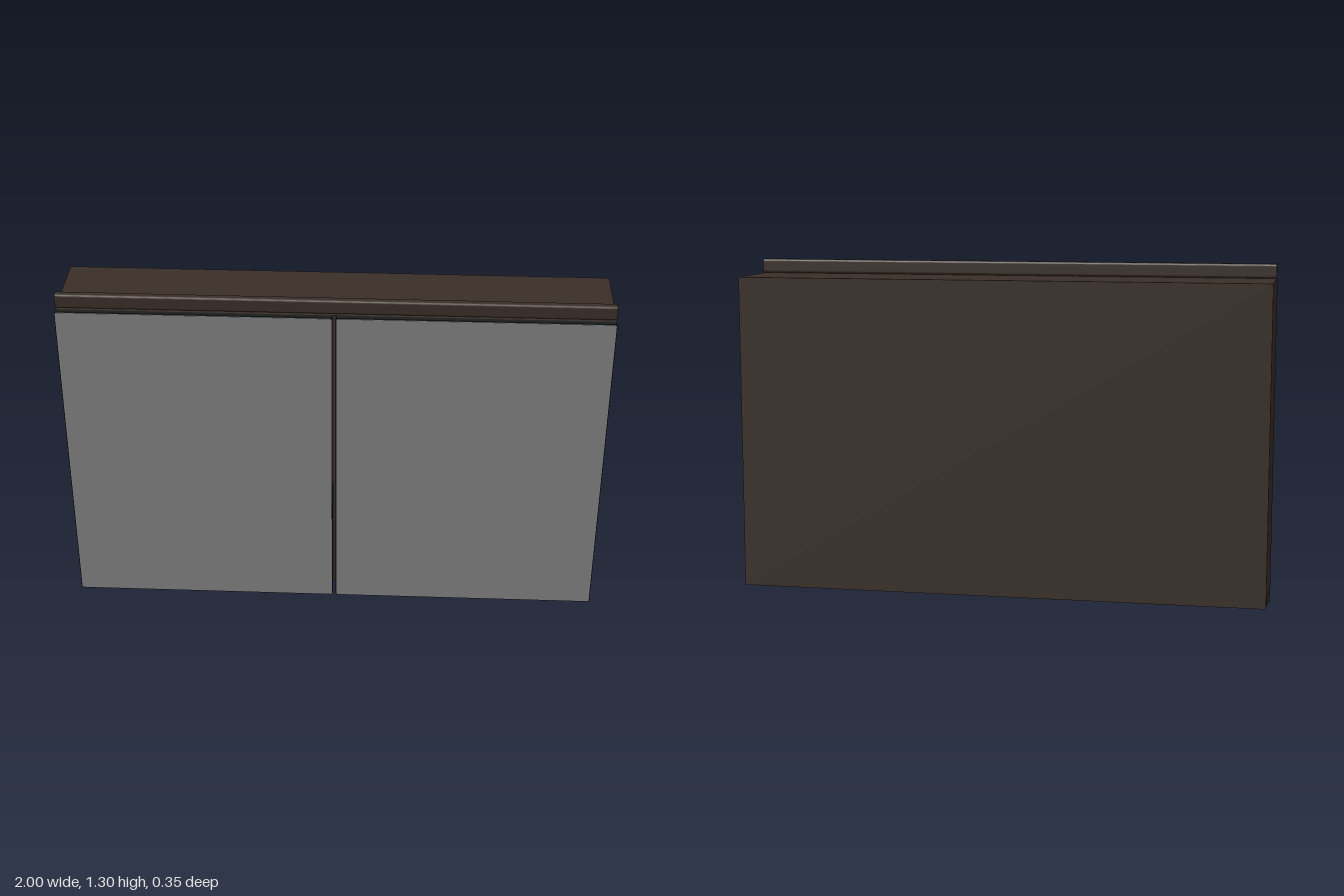
import * as THREE from 'three';

const wood = new THREE.MeshStandardMaterial({ color: 0x3a2f28 });
const edge = new THREE.MeshStandardMaterial({ color: 0x1c1e1e });
const mirror = new THREE.MeshStandardMaterial({ color: 0x808080 });

// Rectangle with rounded corners, centred on the origin
function roundedRect(w, h, r) {
  const s = new THREE.Shape();
  const x = w / 2, y = h / 2;
  s.moveTo(-x + r, -y);
  s.lineTo(x - r, -y);
  s.absarc(x - r, -y + r, r, -Math.PI / 2, 0);
  s.lineTo(x, y - r);
  s.absarc(x - r, y - r, r, 0, Math.PI / 2);
  s.lineTo(-x + r, y);
  s.absarc(-x + r, y - r, r, Math.PI / 2, Math.PI);
  s.lineTo(-x, -y + r);
  s.absarc(-x + r, -y + r, r, Math.PI, Math.PI * 1.5);
  return s;
}

function slab(w, h, r, depth) {
  return new THREE.ExtrudeGeometry(roundedRect(w, h, r), { depth, bevelEnabled: false, curveSegments: 5 });
}

function addMesh(parent, name, geometry, material, x, y, z) {
  const mesh = new THREE.Mesh(geometry, material);
  mesh.name = name;
  mesh.position.set(x, y, z);
  parent.add(mesh);
  return mesh;
}

export function createModel() {
  const model = new THREE.Group();
  model.name = 'mirrorCabinet';

  // Cabinet body, shorter than the doors at the bottom
  const back = -0.173, bodyFront = 0.152, front = 0.173;
  const top = 1.25, bottom = 0.06;
  addMesh(model, 'cabinetBody', new THREE.BoxGeometry(1.998, top - bottom, bodyFront - back), wood,
    0, (top + bottom) / 2, (bodyFront + back) / 2);

  // Pair of mirrored doors with a narrow gap between them
  const gap = 0.012, doorWidth = 1 - gap / 2, pane = 0.002;
  for (const side of [-1, 1]) {
    const door = new THREE.Group();
    door.name = side > 0 ? 'leftDoor' : 'rightDoor';
    door.position.set(side * (1 + gap / 2) / 2, top / 2, 0);
    addMesh(door, 'doorPanel', slab(doorWidth, top, 0.008, front - pane - bodyFront), edge, 0, 0, bodyFront);
    addMesh(door, 'mirrorPane', slab(doorWidth - 0.006, top - 0.006, 0.006, pane), mirror, 0, 0, front - pane);
    model.add(door);
  }

  // Rounded light bar lying along the top front edge
  const bar = addMesh(model, 'topBar', slab(0.032, 0.055, 0.01, 1.998), wood, -0.999, 1.2775, 0.131);
  bar.rotation.y = Math.PI / 2;

  return model;
}
